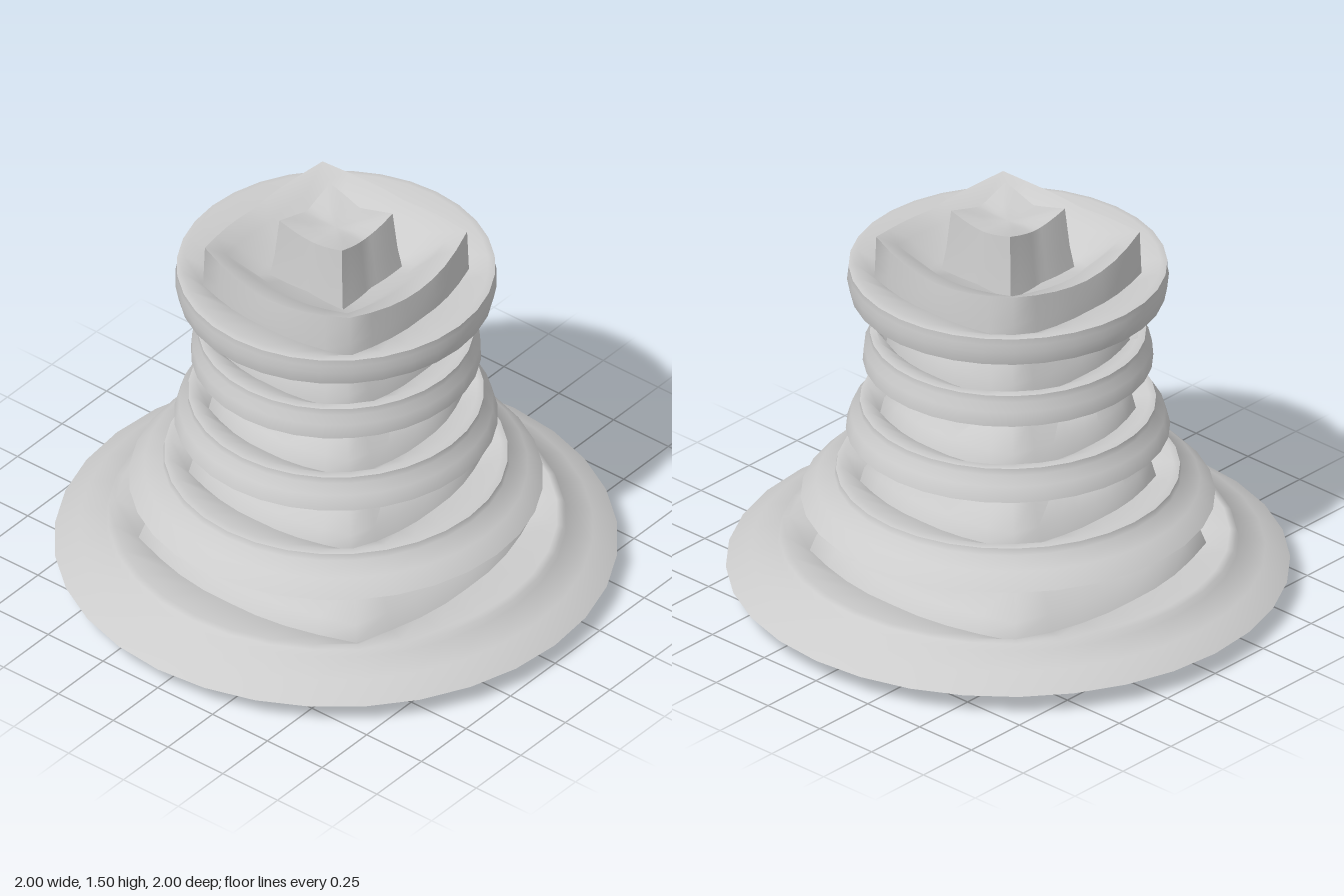
import * as THREE from 'three';
import { toCreasedNormals } from 'three/addons/utils/BufferGeometryUtils.js';

const SEG = 32;
const grey = new THREE.MeshStandardMaterial({ color: 0xcccccc });

// A round loop, or a soft square one when a corner half-width is given.
// mid: radius at the middle of a side, corner: half-width at the corner.
const round = (r, y) => ({ mid: r, cr: r, y, yc: y });
const square = (mid, y, corner, yc) => ({ mid, cr: corner * Math.SQRT2, y, yc });

// Skin a list of loops, ordered from the underside outwards and up to the top
function skin(loops) {
  const pos = [], idx = [];
  for (const l of loops) {
    for (let j = 0; j < SEG; j++) {
      const a = (j / SEG) * Math.PI * 2;
      const s = Math.abs(Math.sin(a)), c = Math.abs(Math.cos(a));
      const t = Math.min(s, c) / Math.max(s, c); // 0 mid-side, 1 at a corner
      const r = l.mid + (l.cr - l.mid) * t ** 1.5;
      pos.push(r * Math.sin(a), l.y + (l.yc - l.y) * t ** 1.25, r * Math.cos(a));
    }
  }
  for (let i = 0; i < loops.length - 1; i++) {
    for (let j = 0; j < SEG; j++) {
      const k = (j + 1) % SEG;
      const a = i * SEG + j, b = i * SEG + k, c = b + SEG, d = a + SEG;
      if (loops[i].mid > 0) idx.push(a, b, c);
      if (loops[i + 1].mid > 0) idx.push(a, c, d);
    }
  }
  const g = new THREE.BufferGeometry();
  g.setAttribute('position', new THREE.Float32BufferAttribute(pos, 3));
  g.setIndex(idx);
  return toCreasedNormals(g, 1.1);
}

// rim: outer radius and height, top: upper edge of the rim, base: foot of the collar
// (mid radius, height, corner half-width), collar: its corner half-width and height,
// lip: hanging skirt (mid radius, mid height, corner height), neck: column half-width
const tiers = [
  { rim: [1.0, 0.08], top: [0.81, 0.19], base: [0.56, 0.2, 0.48], collar: [0.39, 0.295], lip: [0.385, 0, 0.04], neck: 0.19 },
  { rim: [0.735, 0.355], top: [0.61, 0.465], base: [0.42, 0.47, 0.36], collar: [0.3, 0.57], lip: [0.285, 0.285, 0.345], neck: 0.155 },
  { rim: [0.575, 0.63], top: [0.525, 0.74], base: [0.37, 0.75, 0.31], collar: [0.26, 0.845], lip: [0.215, 0.56, 0.62], neck: 0.13 },
  { rim: [0.515, 0.905], top: [0.49, 1.015], base: [0.355, 1.025, 0.3], collar: [0.275, 1.12], lip: [0.19, 0.835, 0.895], neck: 0.125 },
  { rim: [0.56, 1.18], top: [0.565, 1.285], base: [0.39, 1.29, 0.333], collar: [0.33, 1.4], lip: [0.2, 1.11, 1.175], neck: 0.15 },
];

function roofLoops({ rim: [R, y0], top: [rt, y1], base: [rb, yb, bh], collar: [ch, yc], lip: [lm, ly, lc] }) {
  const collarMid = Math.min(ch * 1.17, rb - 0.01);
  const flare = (rb - collarMid) * 0.4;
  return [
    // shallow underside and hanging lip
    round(0, y0),
    square(lm, ly, lm * 0.86, lc),
    square(lm * 1.08, y0 + 0.015, lm * 0.94, y0 + 0.03),
    // soffit, hollowed behind the rim
    square(R * 0.75, y0 - 0.008, R * 0.58, y0 + 0.03),
    round(R * 0.87, y0 + 0.005),
    // curved rim with a slightly overhanging top edge
    round(R, y0),
    round((R + rt) / 2 + 0.008, (y0 + y1) / 2),
    round(rt + (R - rt) * 0.04, y1 - 0.025),
    round(rt, y1),
    round(rt - 0.025, y1 + 0.005),
    // valley between rim and collar
    square(rb + flare, y1 - 0.045, bh + flare * 0.4, y1 - 0.05),
    // collar with raised corners, then the bowl inside it
    square(rb, yb, bh, yb),
    square(collarMid, yc - 0.045, ch, yc),
    square(ch * 0.92, yc - 0.065, ch * 0.84, yc - 0.035),
    square(ch * 0.66, yb - 0.025, ch * 0.6, yb - 0.025),
    round(0, yb - 0.03),
  ];
}

export function createModel() {
  const model = new THREE.Group();
  tiers.forEach((t, i) => {
    const tier = new THREE.Group();
    tier.name = `tier${i + 1}`;

    const roof = new THREE.Mesh(skin(roofLoops(t)), grey);
    roof.name = 'roof';

    // square column with upturned top corners
    const foot = t.base[1] - 0.04, n = t.neck, top = t.collar[1] + 0.1;
    const column = new THREE.Mesh(skin([
      round(0, foot),
      square(n * 1.08, foot, n * 1.12, foot),
      square(n * 0.98, foot + 0.1, n * 1.03, foot + 0.1),
      square(n * 0.88, top - 0.035, n * 0.95, top),
      square(n * 0.45, top - 0.04, n * 0.45, top - 0.03),
      round(0, top - 0.045),
    ]), grey);
    column.name = 'column';

    tier.add(roof, column);
    model.add(tier);
  });
  return model;
}
